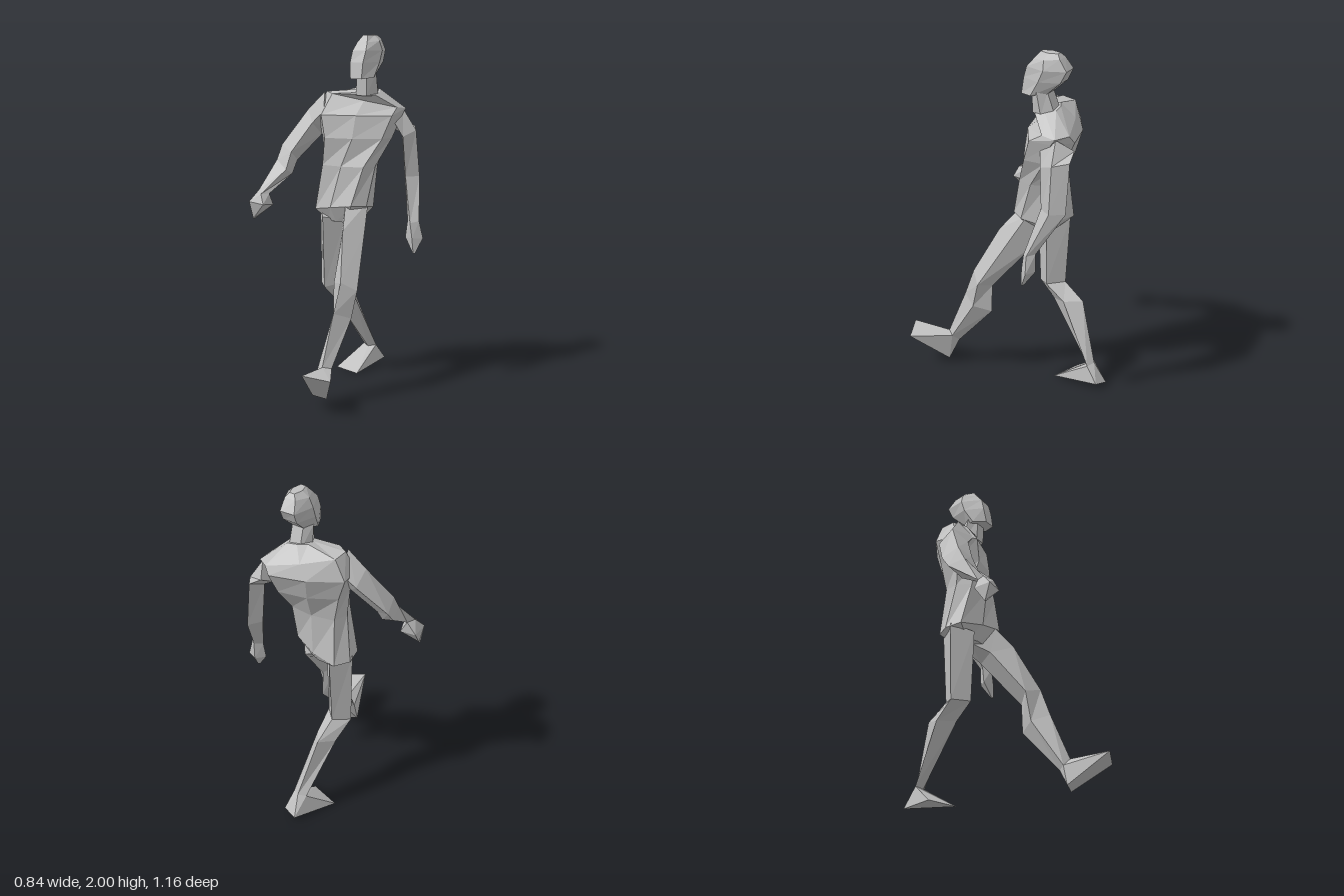
import * as THREE from 'three';
import { ConvexGeometry } from 'three/addons/geometries/ConvexGeometry.js';

// One cross-section: centre, half width, half depth, turn about y, sideways and forward slope.
// Sharpness below 1 makes the outline boxier.
function ring([x, y, z, rx, rz, turn = 0, side = 0, front = 0], sides, phase, sharpness) {
  const bend = t => Math.sign(t) * Math.abs(t) ** sharpness;
  return Array.from({ length: sides }, (_, i) => {
    const a = phase + i / sides * Math.PI * 2;
    const u = rx * bend(Math.sin(a)), w = rz * bend(Math.cos(a));
    return new THREE.Vector3(
      x + u * Math.cos(turn) + w * Math.sin(turn),
      y + u * side + w * front,
      z - u * Math.sin(turn) + w * Math.cos(turn));
  });
}

// Joins the sections from the lowest to the highest into a closed faceted skin
function loft(sections, sides = 4, phase = 0, sharpness = 1) {
  const rings = [...sections].sort((a, b) => a[1] - b[1]).map(s => ring(s, sides, phase, sharpness));
  const points = [];
  for (let r = 0; r < rings.length - 1; r++) {
    for (let i = 0; i < sides; i++) {
      const j = (i + 1) % sides;
      const a = rings[r][i], b = rings[r][j], c = rings[r + 1][j], d = rings[r + 1][i];
      points.push(a, b, c, a, c, d);
    }
  }
  const bottom = rings[0], top = rings[rings.length - 1];
  for (let i = 1; i < sides - 1; i++) {
    points.push(bottom[0], bottom[i + 1], bottom[i], top[0], top[i], top[i + 1]);
  }
  const geometry = new THREE.BufferGeometry().setFromPoints(points);
  geometry.computeVertexNormals();
  return geometry;
}

// A foot is the hull of the ankle section, the heel edge and the toe edge
function foot(ankle, edges) {
  return new ConvexGeometry([...ring(ankle, 4, 0, 1), ...edges.map(p => new THREE.Vector3(...p))]);
}

// Crotch, hips, waist, chest, upper chest, shoulders, neck base
const torso = [
  [-.03, .935, -.18, .09, .07, -.2],
  [-.03, 1.01, -.175, .185, .11, -.25, .15, .1],
  [0, 1.26, -.19, .165, .105, .05],
  [.02, 1.42, -.235, .205, .14, .35],
  [.015, 1.55, -.265, .25, .15, .42],
  [.04, 1.63, -.3, .23, .09, .42, -.2],
  [.08, 1.685, -.255, .07, .07, .3, -.1, -.25],
];
const neck = [
  [.08, 1.66, -.25, .07, .08],
  [.085, 1.79, -.225, .068, .055],
];
// Jaw, cheeks, brow, upper head, crown
const head = [
  [.085, 1.765, -.19, .073, .087, 0, 0, -.1],
  [.08, 1.85, -.24, .085, .128],
  [.08, 1.915, -.265, .085, .135, .05],
  [.082, 1.968, -.264, .066, .09, 0, 0, -.1],
  [.083, 2, -.27, .03, .06],
];

// Shoulder to wrist
const leftArm = [
  [.205, 1.52, -.385, .03, .095, .2, 2],
  [.265, 1.45, -.405, .045, .085, .1, .2, -.3],
  [.285, 1.195, -.41, .05, .075],
  [.355, .95, -.308, .038, .038, 0, 0, -.25],
];
const leftHand = [
  leftArm[3],
  [.363, .853, -.305, .053, .04, .2],
  [.378, .768, -.277, .008, .008],
];
const rightArm = [
  [-.15, 1.57, -.18, .015, .09, .35, -7],
  [-.225, 1.5, -.165, .04, .085, .4, -1.8],
  [-.335, 1.325, -.065, .045, .085, .7, -1, .1],
  [-.34, 1.245, -.02, .045, .085, .7, -.9, -.1],
  [-.368, 1.115, .145, .032, .045, .2, -.3, -.2],
];
const rightHand = [
  rightArm[4],
  [-.378, 1.05, .16, .07, .07, .785, -.15],
  [-.416, .96, .178, .006, .006],
];

// Hip to ankle
const leftLeg = [
  [.055, 1, -.165, .085, .11, 0, .7, .35],
  [.1, .89, -.07, .075, .11, 0, .1, .25],
  [.165, .615, .112, .073, .06, .1, -.2, .6],
  [.165, .45, .145, .06, .09, 0, 0, .4],
  [.16, .18, .322, .045, .03, .3, .4, 1],
];
const rightLeg = [
  [-.12, .97, -.19, .085, .105, 0, -.4, -.1],
  [-.12, .555, -.187, .075, .083, 0, .1, -.15],
  [-.105, .465, -.3, .06, .095, 0, .2, -.15],
  [-.042, .13, -.487, .043, .024, 0, 0, -.4],
];

export function createModel() {
  const model = new THREE.Group();
  model.name = 'walkingFigure';
  const grey = new THREE.MeshStandardMaterial({ color: 0xbfbfbf });
  grey.name = 'grey';

  const parts = {
    torso: loft(torso, 8, 0, .6),
    neck: loft(neck, 6, Math.PI / 6),
    head: loft(head, 6, Math.PI / 6),
    leftArm: loft(leftArm),
    leftHand: loft(leftHand),
    rightArm: loft(rightArm),
    rightHand: loft(rightHand),
    leftLeg: loft(leftLeg),
    rightLeg: loft(rightLeg),
    leftFoot: foot(leftLeg[4], [[.11, .045, .36], [.19, .03, .34], [.19, .22, .58], [.335, .195, .52]]),
    rightFoot: foot(rightLeg[3], [[-.063, .02, -.58], [.02, .04, -.557], [-.18, 0, -.33], [0, 0, -.27]]),
  };
  for (const [name, geometry] of Object.entries(parts)) {
    const mesh = new THREE.Mesh(geometry, grey);
    mesh.name = name;
    model.add(mesh);
  }
  return model;
}
